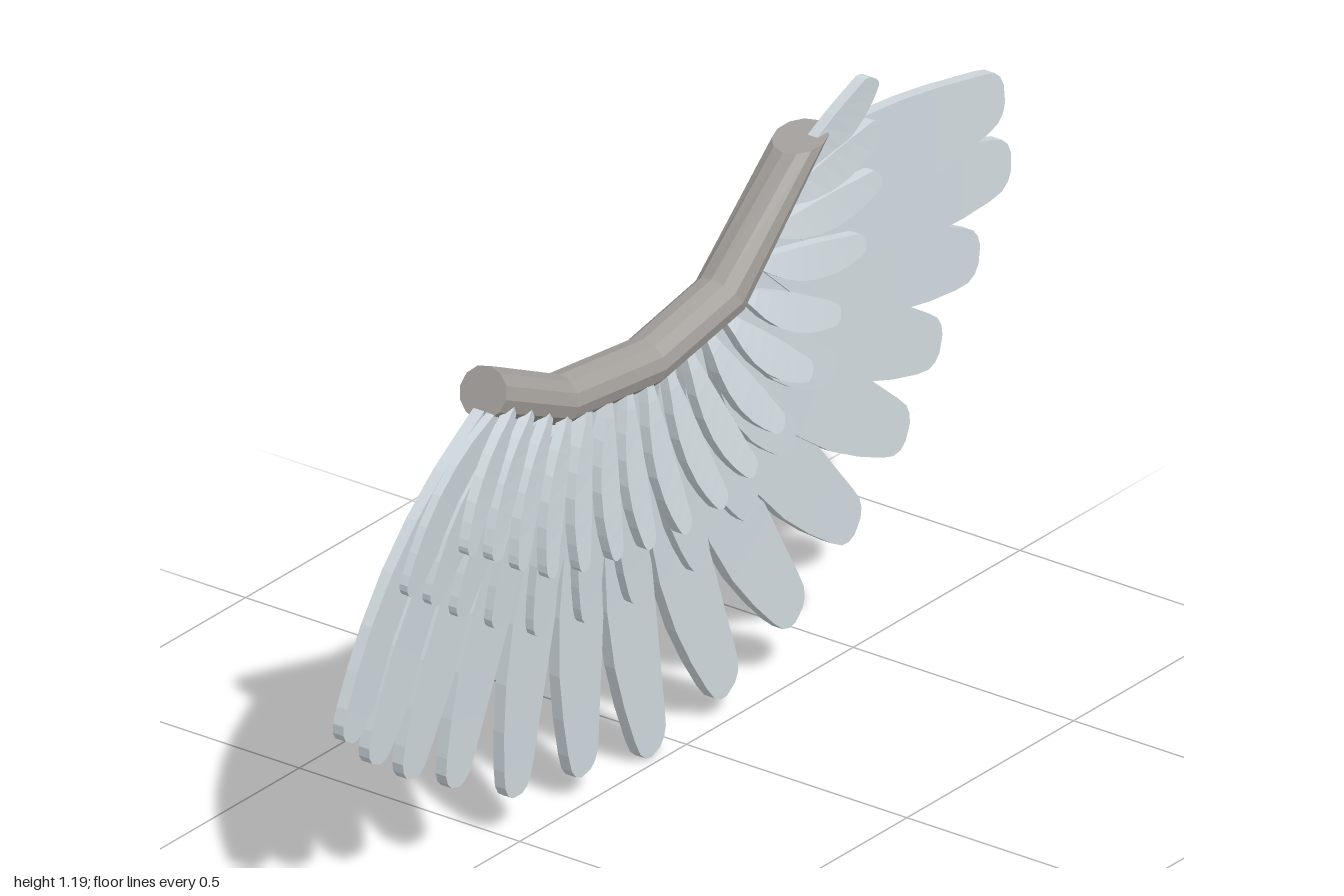
import * as THREE from 'three';

const featherMat = new THREE.MeshStandardMaterial({ color: 0xcfd8dd, flatShading: true });
const armMat = new THREE.MeshStandardMaterial({ color: 0xa39f9b, flatShading: true });

// Closed skin over rings of [x, y, z] points, each ring counter-clockwise about the travel direction
function loft(rings) {
  const n = rings[0].length, last = (rings.length - 1) * n, index = [];
  for (let i = 0; i < rings.length - 1; i++) {
    for (let j = 0; j < n; j++) {
      const a = i * n + j, b = i * n + (j + 1) % n;
      index.push(a, b, b + n, a, b + n, a + n);
    }
  }
  for (let j = 1; j < n - 1; j++) index.push(0, j + 1, j, last, last + j, last + j + 1);
  const g = new THREE.BufferGeometry();
  g.setAttribute('position', new THREE.Float32BufferAttribute(rings.flat(2), 3));
  g.setIndex(index);
  g.computeVertexNormals();
  return g;
}

// Arm joints from shoulder to wing tip: centre x, y, z and the cross-section's upward half axis (y, z)
const joints = [
  [-0.03, 0.92, 0.57, 0.046, 0.02 * -1],
  [-0.025, 0.825, 0.36, 0.046, -0.013],
  [-0.022, 0.80, 0.10, 0.046, 0],
  [-0.022, 0.845, -0.13, 0.042, 0.027],
  [0.005, 1.093, -0.335, -0.012, 0.053],
];

function armGeometry(sides = 12) {
  return loft(joints.map(([x, y, z, uy, uz]) => {
    const ring = [];
    for (let j = 0; j < sides; j++) {
      const a = (j / sides) * Math.PI * 2, c = Math.cos(a), s = Math.sin(a);
      ring.push([x + 0.052 * c, y - uy * s, z - uz * s]);
    }
    return ring;
  }));
}

// Feather outline: [distance along, share of half width]
const outline = [
  [0, 0.3], [0.12, 0.5], [0.25, 0.75], [0.4, 0.93], [0.55, 1], [0.7, 0.95],
  [0.82, 0.82], [0.92, 0.68], [0.965, 0.58], [0.988, 0.42], [1, 0.2],
];

// Curved blade from root to tip (both [z, y]); xAt(s) is its sideways position
function featherGeometry(root, tip, halfWidth, thickness, bend, xAt) {
  const dz = tip[0] - root[0], dy = tip[1] - root[1], len = Math.hypot(dz, dy);
  const ty = dy / len, tz = dz / len;
  return loft(outline.map(([s, w]) => {
    const bow = bend * len * 4 * s * (1 - s), slope = bend * 4 * (1 - 2 * s);
    const y = root[1] + dy * s + tz * bow, z = root[0] + dz * s - ty * bow;
    // side direction follows the curve
    const k = Math.hypot(1, slope);
    const vy = (tz - ty * slope) / k, vz = (-ty - tz * slope) / k;
    const h = halfWidth * w, tilt = 0.005 * w;
    return [[1, 1], [-1, 1], [-1, -1], [1, -1]].map(([u, v]) =>
      [xAt(s) + u * thickness / 2 + v * tilt, y + v * h * vy, z + v * h * vz]);
  }));
}

// Root position [z, y] on the arm, t = 0 at the wing tip and 1 at the shoulder
const armLine = new THREE.CurvePath();
for (let i = joints.length - 1; i > 0; i--) {
  const [a, b] = [joints[i], joints[i - 1]].map(([, y, z]) => new THREE.Vector3(0, y, z));
  armLine.add(new THREE.LineCurve3(a, b));
}
const rootAt = (t) => {
  const p = armLine.getPointAt(t);
  return [p.z, p.y - 0.015];
};

// Three overlapping rows, tips listed as [z, y] from wing tip to shoulder
const rows = [
  {
    name: 'flightFeather', from: 0.06, to: 0.97, width: [0.088, 0.066], thickness: 0.024, bend: 0.05,
    xAt: () => -0.032,
    tips: [[-0.98, 0.92], [-1, 0.775], [-0.905, 0.625], [-0.79, 0.49], [-0.69, 0.35], [-0.54, 0.22],
      [-0.365, 0.11], [-0.16, 0.04], [0.065, 0.002], [0.275, 0.04], [0.48, 0.075], [0.665, 0.165],
      [0.8, 0.235], [0.905, 0.305], [0.985, 0.38]],
  },
  {
    name: 'middleFeather', from: 0.3, to: 0.97, width: [0.055, 0.045], thickness: 0.018, bend: 0.06,
    xAt: () => -0.006,
    tips: [[-0.44, 0.58], [-0.32, 0.48], [-0.2, 0.39], [-0.05, 0.34], [0.14, 0.345], [0.29, 0.36],
      [0.44, 0.39], [0.57, 0.455], [0.68, 0.52], [0.76, 0.575], [0.83, 0.62]],
  },
  {
    name: 'coverFeather', from: 0.05, to: 0.96, width: [0.034, 0.034], thickness: 0.022, bend: 0.07,
    xAt: (s) => 0.005 + 0.059 * Math.pow(s, 0.75),
    tips: [[-0.465, 1.18], [-0.485, 1.08], [-0.485, 0.975], [-0.44, 0.86], [-0.365, 0.745], [-0.28, 0.66],
      [-0.195, 0.585], [-0.11, 0.525], [-0.02, 0.495], [0.09, 0.485], [0.2, 0.495], [0.3, 0.51],
      [0.4, 0.525], [0.5, 0.55], [0.59, 0.6], [0.67, 0.65], [0.745, 0.69]],
  },
];

export function createModel() {
  const wing = new THREE.Group();
  wing.name = 'wing';

  const arm = new THREE.Mesh(armGeometry(), armMat);
  arm.name = 'wingArm';
  wing.add(arm);

  for (const row of rows) {
    const group = new THREE.Group();
    group.name = row.name + 'Row';
    row.tips.forEach((tip, i) => {
      const f = i / (row.tips.length - 1);
      const root = rootAt(THREE.MathUtils.lerp(row.from, row.to, f));
      const half = THREE.MathUtils.lerp(row.width[0], row.width[1], f);
      const feather = new THREE.Mesh(
        featherGeometry(root, tip, half, row.thickness, row.bend, row.xAt), featherMat);
      feather.name = row.name + (i + 1);
      group.add(feather);
    });
    wing.add(group);
  }
  return wing;
}
